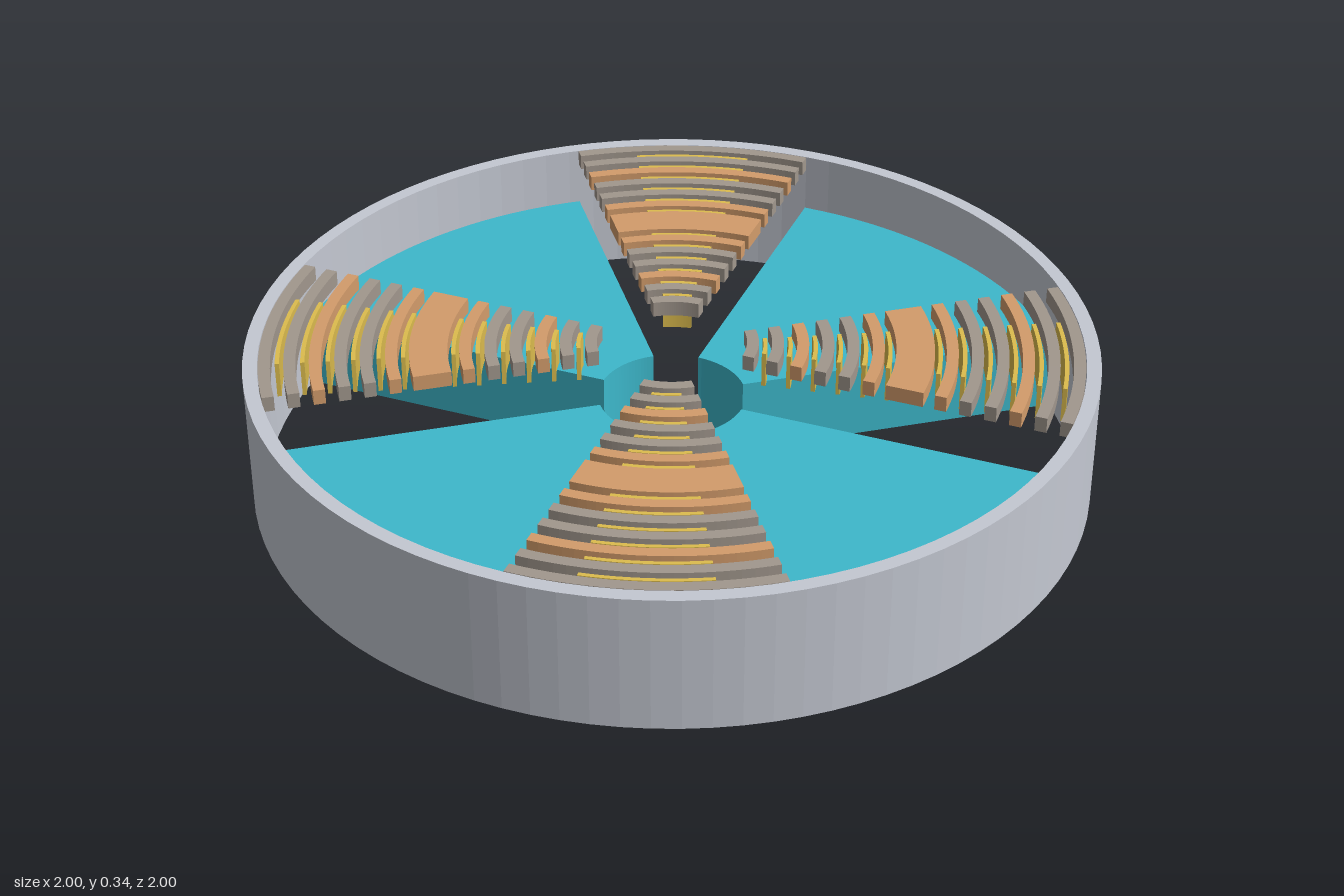
import * as THREE from 'three';

const mat = (name, color) => {
  const m = new THREE.MeshStandardMaterial({ color });
  m.name = name;
  return m;
};

// Extrude a flat outline upward from y0 to y1
function slab(shape, y0, y1, curveSegments) {
  const geo = new THREE.ExtrudeGeometry(shape, { depth: y1 - y0, bevelEnabled: false, curveSegments });
  geo.rotateX(-Math.PI / 2);
  geo.translate(0, y0, 0);
  return geo;
}

// Annular sector between two radii and two angles (degrees, counter-clockwise from +x seen from above)
function sector(r0, r1, a0, a1, y0, y1) {
  const s = THREE.MathUtils.degToRad(a0), e = THREE.MathUtils.degToRad(a1);
  const shape = new THREE.Shape();
  shape.absarc(0, 0, r1, s, e, false);
  shape.absarc(0, 0, r0, e, s, true);
  shape.closePath();
  return slab(shape, y0, y1, 10);
}

export function createModel() {
  const silver = mat('silver', 0xc4c8d2);
  const teal = mat('teal', 0x3db8cb);
  const grey = mat('warm grey', 0xa1978d);
  const copper = mat('copper', 0xd39c6b);
  const gold = mat('gold', 0xdcbc4e);

  const H = 0.34, GAP = 36;
  const model = new THREE.Group();
  model.name = 'slottedDrum';

  const add = (parent, name, geo, material) => {
    const mesh = new THREE.Mesh(geo, material);
    mesh.name = name;
    parent.add(mesh);
  };

  // Outer ring wall
  const ring = new THREE.Shape().absarc(0, 0, 1, 0, Math.PI * 2, false);
  ring.holes.push(new THREE.Path().absarc(0, 0, 0.966, 0, Math.PI * 2, true));
  add(model, 'outerRing', slab(ring, 0, H, 48), silver);

  // Radial limits of the thirteen curved bars; the middle one is wide
  const bars = [];
  for (let i = 0; i < 6; i++) bars.push([0.176 + i * 0.0588, 0.204 + i * 0.0588]);
  bars.push([0.525, 0.615]);
  for (let i = 0; i < 6; i++) bars.push([0.642 + i * 0.0588, 0.67 + i * 0.0588]);
  const copperBars = [2, 5, 6, 7, 10];

  // Shared geometries for one quarter
  const wedgeGeo = sector(0.175, 0.965, GAP, 90, 0, 0.19);
  const barGeos = bars.map(([r0, r1]) => sector(r0, r1, 0, GAP, H - 0.038, H));
  const finGeos = bars.slice(1).map(([r0], i) => {
    const mid = (bars[i][1] + r0) / 2;
    return sector(mid - 0.005, mid + 0.005, GAP / 4, GAP * 0.75, 0.245, H - 0.006);
  });

  // Four quarters: a solid wedge and a fan of bars with hanging fins
  for (let q = 0; q < 4; q++) {
    const quarter = new THREE.Group();
    quarter.name = 'quarter' + (q + 1);
    quarter.rotation.y = q * Math.PI / 2;
    add(quarter, 'wedge', wedgeGeo, teal);
    barGeos.forEach((g, i) => add(quarter, 'curvedBar', g, copperBars.includes(i) ? copper : grey));
    finGeos.forEach((g) => add(quarter, 'hangingFin', g, gold));
    model.add(quarter);
  }
  return model;
}
